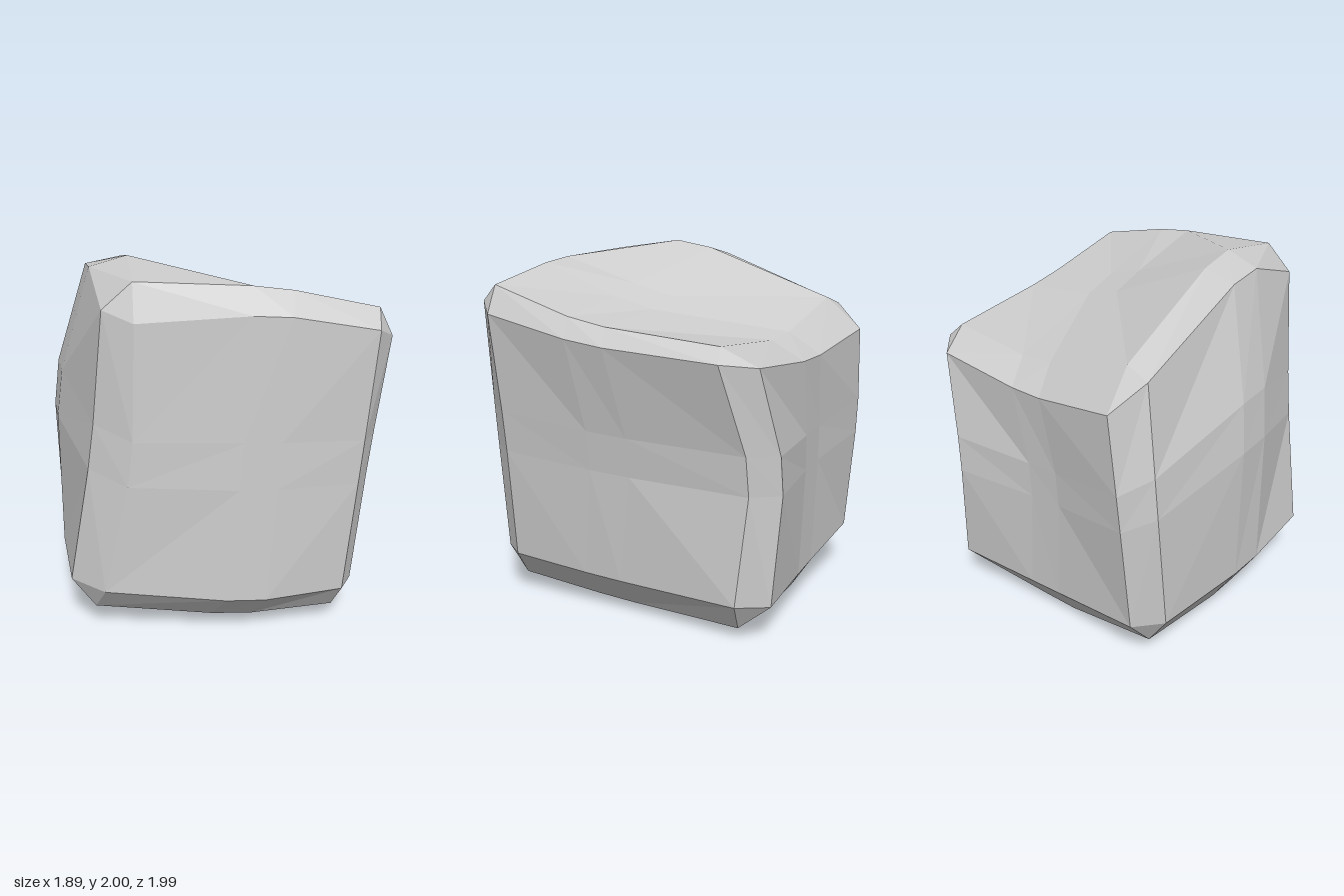
import * as THREE from 'three';

// Control cage: 3 levels (bottom, middle, top), each 3 rows back to front, each row -x to +x
const CAGE = [
  [[[-0.555, 0.13, -0.965], [0.185, 0.05, -0.755], [0.91, 0.08, -0.6]],
    [[-0.81, 0.11, -0.225], [-0.07, 0, -0.05], [0.63, 0.08, 0.31]],
    [[-1.005, 0.185, 0.425], [-0.18, 0.13, 0.85], [0.455, 0.12, 0.935]]],
  [[[-0.48, 0.985, -1.05], [0.13, 0.88, -0.78], [0.86, 0.89, -0.68]],
    [[-0.82, 1.2, -0.24], [0, 1, 0], [0.69, 0.92, 0.22]],
    [[-0.81, 1.03, 0.55], [-0.09, 1, 0.84], [0.525, 0.99, 0.985]]],
  [[[-0.425, 1.62, -1.025], [0.25, 1.49, -0.77], [1, 1.57, -0.49]],
    [[-0.62, 2.05, 0], [0.17, 1.71, 0.16], [0.81, 1.63, 0.35]],
    [[-0.78, 1.88, 0.54], [-0.02, 1.94, 0.82], [0.585, 1.795, 1.015]]],
];
const BEVEL = 0.08;
const STEPS = [BEVEL, 0.44, 0.58, 1 - BEVEL];

const weights = (t) => [(1 - t) * (1 - 2 * t), 4 * t * (1 - t), t * (2 * t - 1)];

// Bend a point of the unit cube through the cage
function warp([u, v, w]) {
  const [a, b, c] = [weights(u), weights(v), weights(w)];
  const p = new THREE.Vector3();
  for (let j = 0; j < 3; j++)
    for (let k = 0; k < 3; k++)
      for (let i = 0; i < 3; i++)
        p.addScaledVector(new THREE.Vector3(...CAGE[j][k][i]), a[i] * b[j] * c[k]);
  return p;
}

// Cube coordinates from an axis number and the values on it and the next two axes
function at(axis, s, t, r) {
  const q = [0, 0, 0];
  q[axis] = s;
  q[(axis + 1) % 3] = t;
  q[(axis + 2) % 3] = r;
  return q;
}

function bevelledBlock() {
  const out = [];
  const tri = (a, b, c) => {
    // Corner order is chosen on the straight cube so that every face looks outward
    const [A, B, C] = [a, b, c].map((q) => new THREE.Vector3(...q).subScalar(0.5));
    const n = B.clone().sub(A).cross(C.clone().sub(A));
    const order = n.dot(A.add(B).add(C)) > 0 ? [a, b, c] : [a, c, b];
    order.forEach((q) => out.push(...warp(q).toArray()));
  };
  const quad = (a, b, c, d) => { tri(a, b, c); tri(a, c, d); };
  const inset = (s) => (s ? 1 - BEVEL : BEVEL);

  for (let axis = 0; axis < 3; axis++) {
    // Two opposite sides
    for (const s of [0, 1])
      for (let i = 0; i < 3; i++)
        for (let j = 0; j < 3; j++)
          quad(at(axis, s, STEPS[i], STEPS[j]), at(axis, s, STEPS[i + 1], STEPS[j]),
            at(axis, s, STEPS[i + 1], STEPS[j + 1]), at(axis, s, STEPS[i], STEPS[j + 1]));
    // Four bevel strips along this axis
    for (const t of [0, 1])
      for (const r of [0, 1])
        for (let i = 0; i < 3; i++)
          quad(at(axis, STEPS[i], t, inset(r)), at(axis, STEPS[i + 1], t, inset(r)),
            at(axis, STEPS[i + 1], inset(t), r), at(axis, STEPS[i], inset(t), r));
  }
  // Eight corner triangles
  for (const x of [0, 1])
    for (const y of [0, 1])
      for (const z of [0, 1])
        tri([x, inset(y), inset(z)], [inset(x), y, inset(z)], [inset(x), inset(y), z]);

  const geometry = new THREE.BufferGeometry();
  geometry.setAttribute('position', new THREE.Float32BufferAttribute(out, 3));
  geometry.computeVertexNormals();
  return geometry;
}

export function createModel() {
  const rock = new THREE.Mesh(bevelledBlock(),
    new THREE.MeshStandardMaterial({ color: 0xcccccc, flatShading: true }));
  rock.name = 'rock';
  const group = new THREE.Group();
  group.name = 'boulder';
  group.add(rock);
  return group;
}
